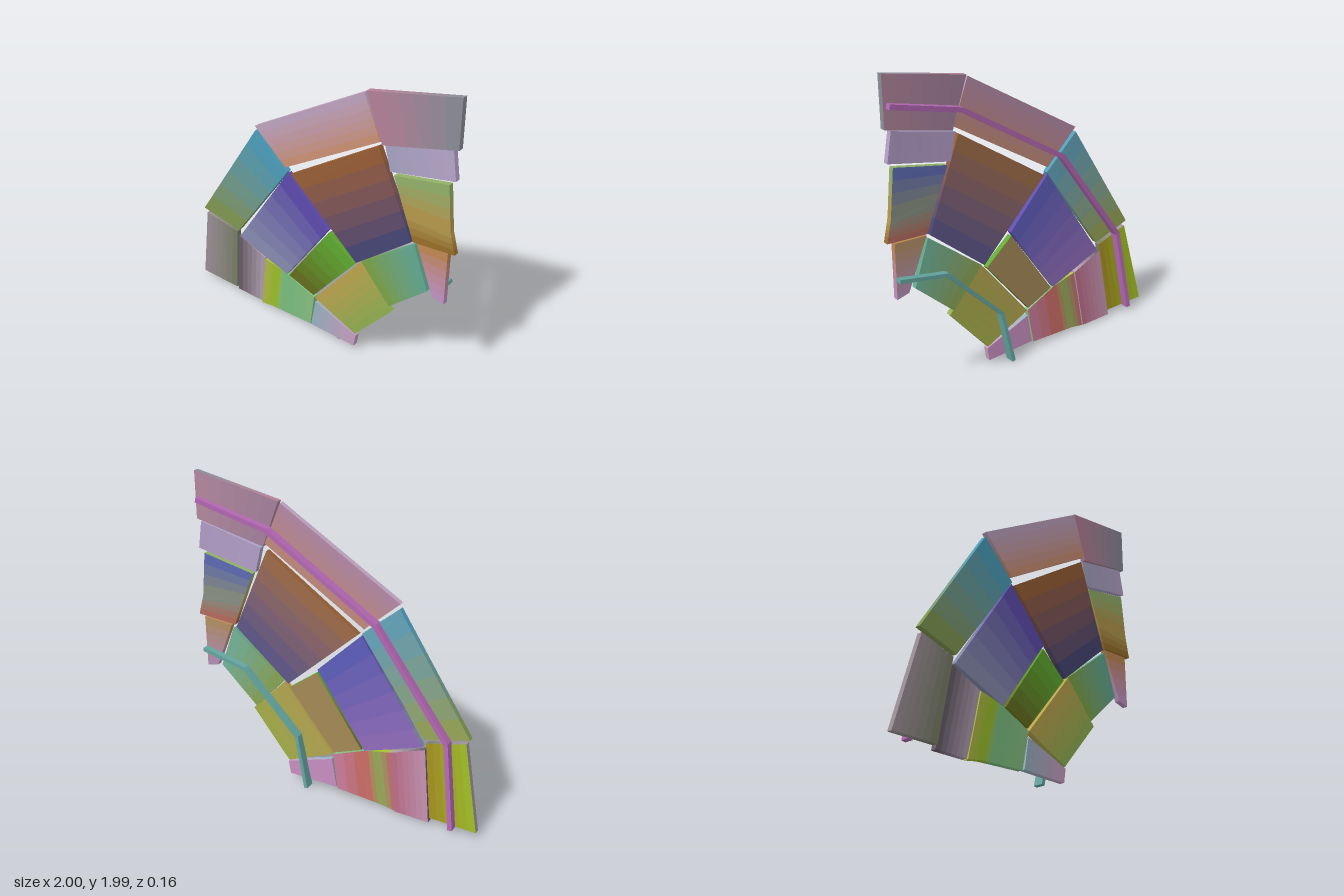
import * as THREE from 'three';

// Flat-shaded mesh from triangles given as lists of points
function meshFrom(name, tris, color) {
  const g = new THREE.BufferGeometry();
  g.setAttribute('position', new THREE.Float32BufferAttribute(tris.flat(2), 3));
  g.computeVertexNormals();
  const m = new THREE.Mesh(g, new THREE.MeshStandardMaterial({ color, flatShading: true }));
  m.name = name;
  return m;
}

const quad = (a, b, c, d) => [[a, b, c], [a, c, d]];
const mix = (p, q, t) => p.map((v, i) => v + (q[i] - v) * t);
const mixColor = (c, d, t) => new THREE.Color(c).lerp(new THREE.Color(d), t);

// Slab through stations [left point, right point, front colour, back colour],
// cut into bands that step from one station's colour to the next
function panel(name, stations, bands = 6) {
  const group = new THREE.Group();
  group.name = name;
  const behind = ([x, y, z]) => [x, y, z - 0.035];
  for (let s = 0; s < stations.length - 1; s++) {
    const [a, b, front, back] = stations[s];
    const [a2, b2, front2, back2] = stations[s + 1];
    for (let i = 0; i < bands; i++) {
      const t0 = i / bands, t1 = (i + 1) / bands, tc = i / (bands - 1);
      const f = [mix(a, a2, t0), mix(b, b2, t0), mix(b, b2, t1), mix(a, a2, t1)];
      const r = f.map(behind);
      const tris = [...quad(...f), ...quad(r[1], r[2], f[2], f[1]), ...quad(r[3], r[0], f[0], f[3])];
      if (s === 0 && i === 0) tris.push(...quad(r[0], r[1], f[1], f[0]));
      if (s === stations.length - 2 && i === bands - 1) tris.push(...quad(r[2], r[3], f[3], f[2]));
      group.add(
        meshFrom('frontAndRim', tris, mixColor(front, front2, tc)),
        meshFrom('back', quad(r[3], r[2], r[1], r[0]), mixColor(back, back2, tc)),
      );
    }
  }
  return group;
}

// Mitred rectangular bar along points [x, y, zBack, zFront]
function rail(name, path, w, color) {
  const last = path.length - 1;
  const dir = (a, b) => new THREE.Vector2(b[0] - a[0], b[1] - a[1]).normalize();
  const rings = path.map((p, i) => {
    const d0 = dir(path[Math.max(i - 1, 0)], path[Math.max(i, 1)]);
    const d1 = dir(path[Math.min(i, last - 1)], path[Math.min(i + 1, last)]);
    const d = d0.clone().add(d1).normalize();
    const k = w / 2 / d.dot(d0);
    const nx = -d.y * k, ny = d.x * k;
    return [
      [p[0] + nx, p[1] + ny, p[2]], [p[0] - nx, p[1] - ny, p[2]],
      [p[0] - nx, p[1] - ny, p[3]], [p[0] + nx, p[1] + ny, p[3]],
    ];
  });
  const e = rings[last];
  const tris = [...quad(...rings[0]), ...quad(e[3], e[2], e[1], e[0])];
  for (let i = 0; i < last; i++) {
    const r = rings[i], s = rings[i + 1];
    for (let k = 0; k < 4; k++) {
      const j = (k + 1) % 4;
      tris.push(...quad(r[k], s[k], s[j], r[j]));
    }
  }
  return meshFrom(name, tris, color);
}

export function createModel() {
  const group = new THREE.Group();
  group.name = 'curvedPanelArray';

  // Outer ring of plates
  group.add(
    panel('outerTopPlate', [
      [[0.40, 1.88, 0.065], [0.51, 1.58, 0.055], 0xb58198, 0xa4819d],
      [[0.97, 1.995, 0.02], [0.97, 1.69, 0.018], 0x8c8c98, 0xb3889d]]),
    panel('outerUpperPlate', [
      [[0.39, 1.87, 0.07], [-0.42, 1.40, 0.07], 0xc1a4c1, 0xb388a4],
      [[0.50, 1.60, 0.06], [-0.19, 1.19, 0.06], 0xcd9275, 0xc1887a]]),
    panel('outerSidePlate', [
      [[-0.18, 1.16, 0.055], [-0.42, 1.37, 0.065], 0x4c9ebb, 0x64a4ba],
      [[-0.61, 0.56, 0.055], [-0.90, 0.63, 0.075], 0x819852, 0x96a456]]),
    panel('outerLowerPlate', [
      [[-0.88, 0.60, 0.07], [-1, 0.04, 0.015], 0x9e9298, 0x9dba24],
      [[-0.63, 0.54, 0.05], [-0.69, 0.04, 0.015], 0x7b8169, 0xa48f1d]]),
  );

  // Middle ring
  group.add(
    panel('middleTopPlate', [
      [[0.51, 1.58, 0.03], [0.55, 1.415, 0.025], 0xa9a4c4, 0xb39dc8],
      [[0.935, 1.68, 0.012], [0.965, 1.50, 0.015], 0xb4a4c7, 0xb39dc8]]),
    panel('largePlate', [
      [[0.48, 1.56, 0.045], [-0.155, 1.15, 0.05], 0x985e35, 0x9d6b48],
      [[0.71, 1.01, 0.02], [0.33, 0.70, 0.025], 0x464675, 0x5d5688]]),
    panel('middleSidePlate', [
      [[-0.61, 0.51, 0.045], [-0.22, 0.37, 0.03], 0x878cb0, 0x8f6bba],
      [[-0.18, 1.15, 0.05], [0.12, 0.85, 0.035], 0x5e4cb0, 0x5d5dba]]),
    panel('middleLowerPlate', [
      [[-0.63, 0.50, 0.04], [-0.69, 0.015, 0], 0x695e69, 0xc18fac],
      [[-0.405, 0.415, 0.03], [-0.46, 0.015, 0], 0xb09eb0, 0xba6b88]]),
    panel('middleLowerInnerPlate', [
      [[-0.40, 0.41, 0.035], [-0.465, 0.01, 0.01], 0xb0bb46, 0xba726b],
      [[-0.30, 0.39, 0.032], [-0.37, 0.025, 0.01], 0x9ec129, 0x96a456],
      [[-0.22, 0.37, 0.03], [-0.27, 0.03, 0.01], 0x7bc181, 0xc86b64],
      [[0, 0.28, 0.02], [-0.04, 0.04, 0.01], 0x87c181, 0xc87a96]], 3),
    panel('smallPlate', [
      [[-0.20, 0.37, 0.03], [-0.005, 0.295, 0.02], 0x636f1d, 0xa48856],
      [[0.12, 0.83, 0.03], [0.315, 0.68, 0.02], 0x5eaa2f, 0xa48856]]),
  );

  // Inner ring
  group.add(
    panel('innerTopPlate', [
      [[0.93, 1.47, 0.02], [0.575, 1.40, 0.025], 0x92b069, 0x5d6bb3],
      [[0.96, 1.18, 0.02], [0.654, 1.20, 0.025], 0xb5984c, 0x888f81],
      [[0.995, 1.04, 0.015], [0.725, 1.02, 0.025], 0x986f29, 0xb36b5d]], 4),
    panel('innerEndPlate', [
      [[0.95, 1.03, 0.012], [0.74, 1.02, 0.012], 0xc18752, 0xb38f64],
      [[0.95, 0.68, 0.015], [0.87, 0.70, 0.015], 0xc192c1, 0xb38fb3]]),
    panel('innerUpperPlate', [
      [[0.36, 0.715, 0.012], [0.57, 0.48, 0.01], 0x7ba446, 0x88a456],
      [[0.73, 1.0, 0.015], [0.83, 0.715, 0.01], 0x63aa92, 0x72b396]]),
    panel('innerLowerPlate', [
      [[0.355, 0.71, 0.022], [0.005, 0.28, 0.02], 0xbba44c, 0xb3a44f],
      [[0.595, 0.455, 0.018], [0.325, 0.14, 0.01], 0x92b052, 0xa4ac48]]),
    panel('innerBottomPlate', [
      [[0.005, 0.245, 0.015], [-0.03, 0.045, 0.015], 0x98b0c1, 0xc88fc1],
      [[0.33, 0.13, 0.01], [0.315, 0.04, 0.01], 0xc79ec1, 0xc88fc1]]),
  );

  // Bent support bars on the back
  group.add(
    rail('outerRail', [[0.95, 1.82, -0.05, -0.01], [0.465, 1.70, -0.02, 0.025], [-0.28, 1.25, -0.02, 0.033],
      [-0.77, 0.59, -0.02, 0.033], [-0.85, 0.035, -0.07, -0.015]], 0.03, 0xb468b4),
    rail('innerRail', [[0.95, 0.81, -0.062, -0.018], [0.63, 0.75, -0.065, -0.018], [0.24, 0.36, -0.068, -0.02],
      [0.165, 0.004, -0.083, -0.02]], 0.024, 0x64a5a0),
  );
  return group;
}
